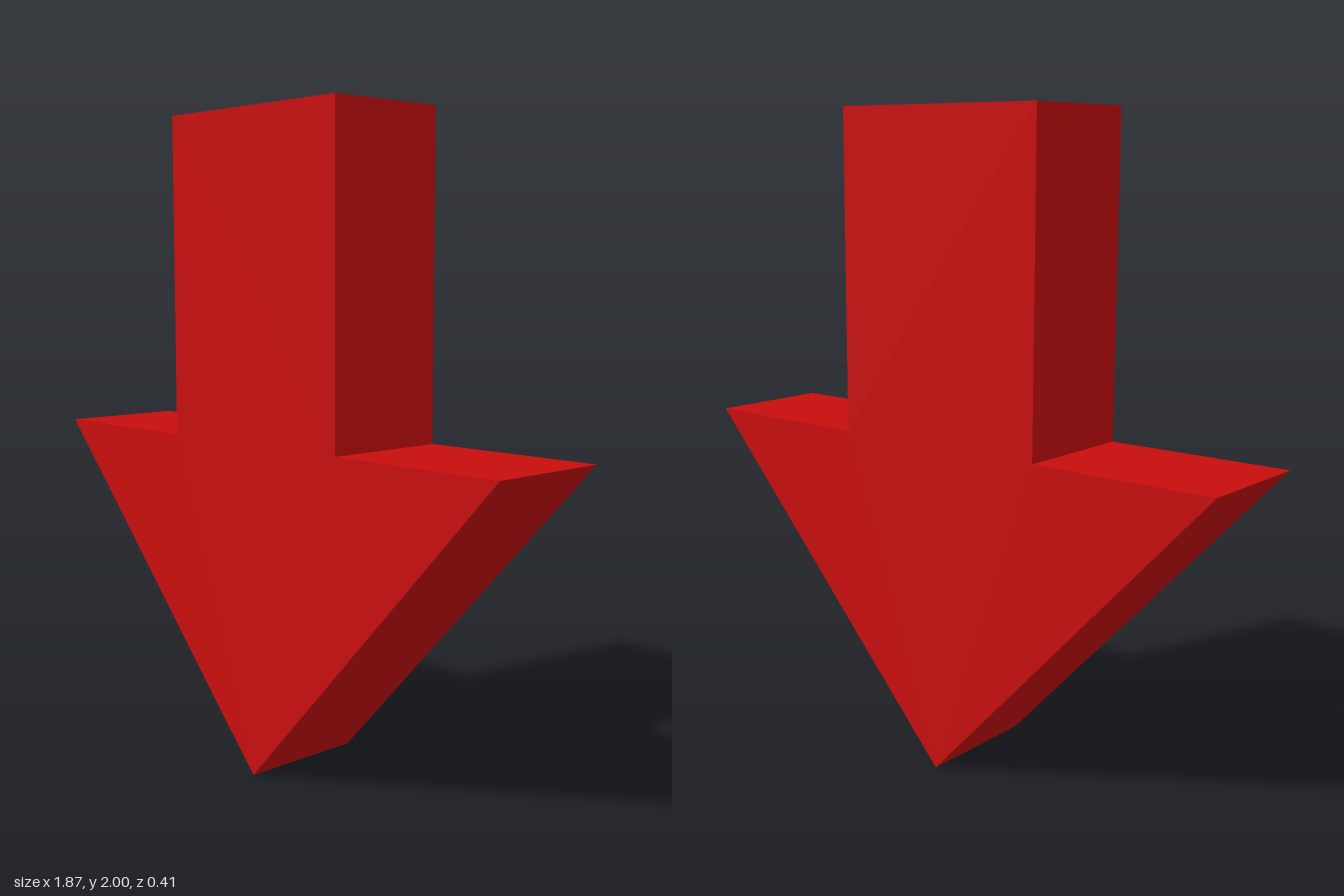
import * as THREE from 'three';

export function createModel() {
  const group = new THREE.Group();
  group.name = 'downArrow';

  // Right half of the outline, tip to shaft top, relative to mid height; mirrored for the other half
  const half = [[0.936, 0.018], [0.357, 0.018], [0.357, 0.995]];
  const outline = [
    [0, -0.997],
    ...half,
    ...half.slice().reverse().map(([x, y]) => [-x, y]),
  ];
  const shape = new THREE.Shape(outline.map(([x, y]) => new THREE.Vector2(x, y)));

  // Solid slab, centred in depth
  const depth = 0.4;
  const geometry = new THREE.ExtrudeGeometry(shape, { depth, bevelEnabled: false });
  geometry.translate(0, 0, -depth / 2);

  const arrow = new THREE.Mesh(
    geometry,
    new THREE.MeshStandardMaterial({ color: 0xc80e0e, flatShading: true })
  );
  arrow.name = 'arrow';
  arrow.position.y = 1;
  // The arrow leans very slightly
  arrow.rotation.set(-0.004, -0.002, 0.009);
  group.add(arrow);

  return group;
}
